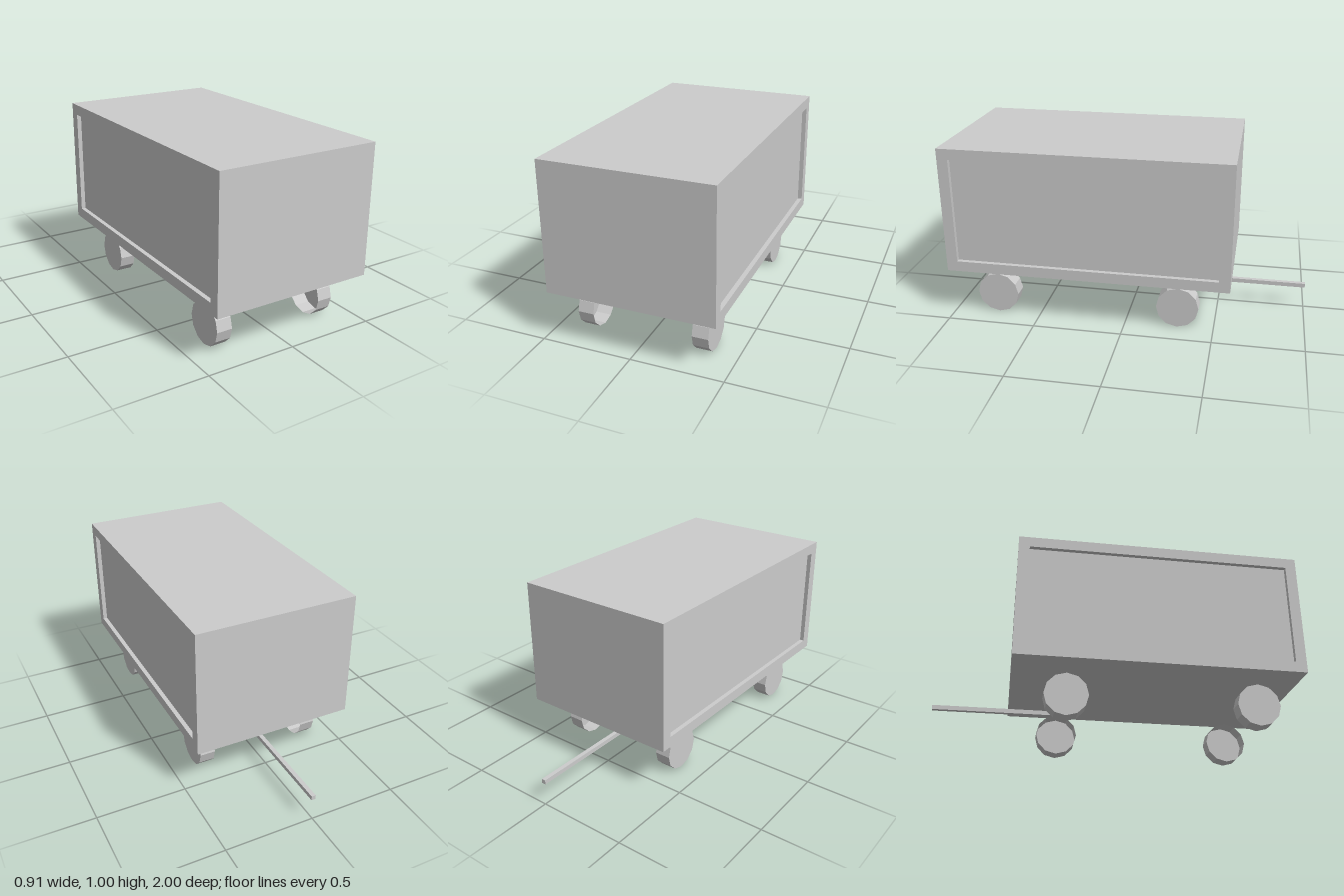
import * as THREE from 'three';

const material = new THREE.MeshStandardMaterial({ color: 0xcccccc, flatShading: true });
const openMaterial = new THREE.MeshStandardMaterial({ color: 0xcccccc, flatShading: true, side: THREE.DoubleSide });

const BODY = { width: 0.914, height: 0.715, length: 1.587, y: 0.6425, z: 0.2065 };
const RECESS = { depth: 0.025, height: 0.595, length: 1.465 };
const WHEEL = { radius: 0.119, width: 0.088, x: 0.321, sides: 12 };

function addMesh(parent, name, geometry, mat = material) {
  const mesh = new THREE.Mesh(geometry, mat);
  mesh.name = name;
  parent.add(mesh);
  return mesh;
}

// Traces a rectangle centred on the origin
function rectangle(path, w, h) {
  path.moveTo(-w / 2, -h / 2);
  path.lineTo(w / 2, -h / 2);
  path.lineTo(w / 2, h / 2);
  path.lineTo(-w / 2, h / 2);
  path.closePath();
  return path;
}

// Raised border around the sunken side panel
function sideFrameGeometry() {
  const shape = rectangle(new THREE.Shape(), BODY.length, BODY.height);
  shape.holes.push(rectangle(new THREE.Path(), RECESS.length, RECESS.height));
  return new THREE.ExtrudeGeometry(shape, { depth: RECESS.depth, bevelEnabled: false });
}

// Wheel shell: tread and outer disc, open on the inner side
function wheelGeometry() {
  const { radius: r, width: w } = WHEEL;
  const profile = [[r, -w / 2], [r, w / 2], [0, w / 2]].map(([x, y]) => new THREE.Vector2(x, y));
  return new THREE.LatheGeometry(profile, WHEEL.sides);
}

export function createModel() {
  const model = new THREE.Group();
  model.name = 'trailer';

  // Box body with a recessed panel on each side
  const body = new THREE.Group();
  body.name = 'body';
  body.position.set(0, BODY.y, BODY.z);
  model.add(body);
  const coreWidth = BODY.width - 2 * RECESS.depth;
  addMesh(body, 'bodyCore', new THREE.BoxGeometry(coreWidth, BODY.height, BODY.length));

  const frame = sideFrameGeometry();
  const wheel = wheelGeometry();
  for (const [side, s] of [['left', 1], ['right', -1]]) {
    const border = addMesh(body, side + 'SideFrame', frame);
    border.rotation.y = s * Math.PI / 2;
    border.position.x = s * coreWidth / 2;

    // Wheels
    for (const [end, z] of [['Front', 0.745], ['Back', -0.295]]) {
      const mesh = addMesh(model, side + end + 'Wheel', wheel, openMaterial);
      mesh.rotation.z = -s * Math.PI / 2;
      mesh.position.set(s * WHEEL.x, WHEEL.radius, z);
    }
  }

  // Tow bar
  addMesh(model, 'towBar', new THREE.BoxGeometry(0.024, 0.024, 0.65)).position.set(0, 0.141, -0.675);

  return model;
}
